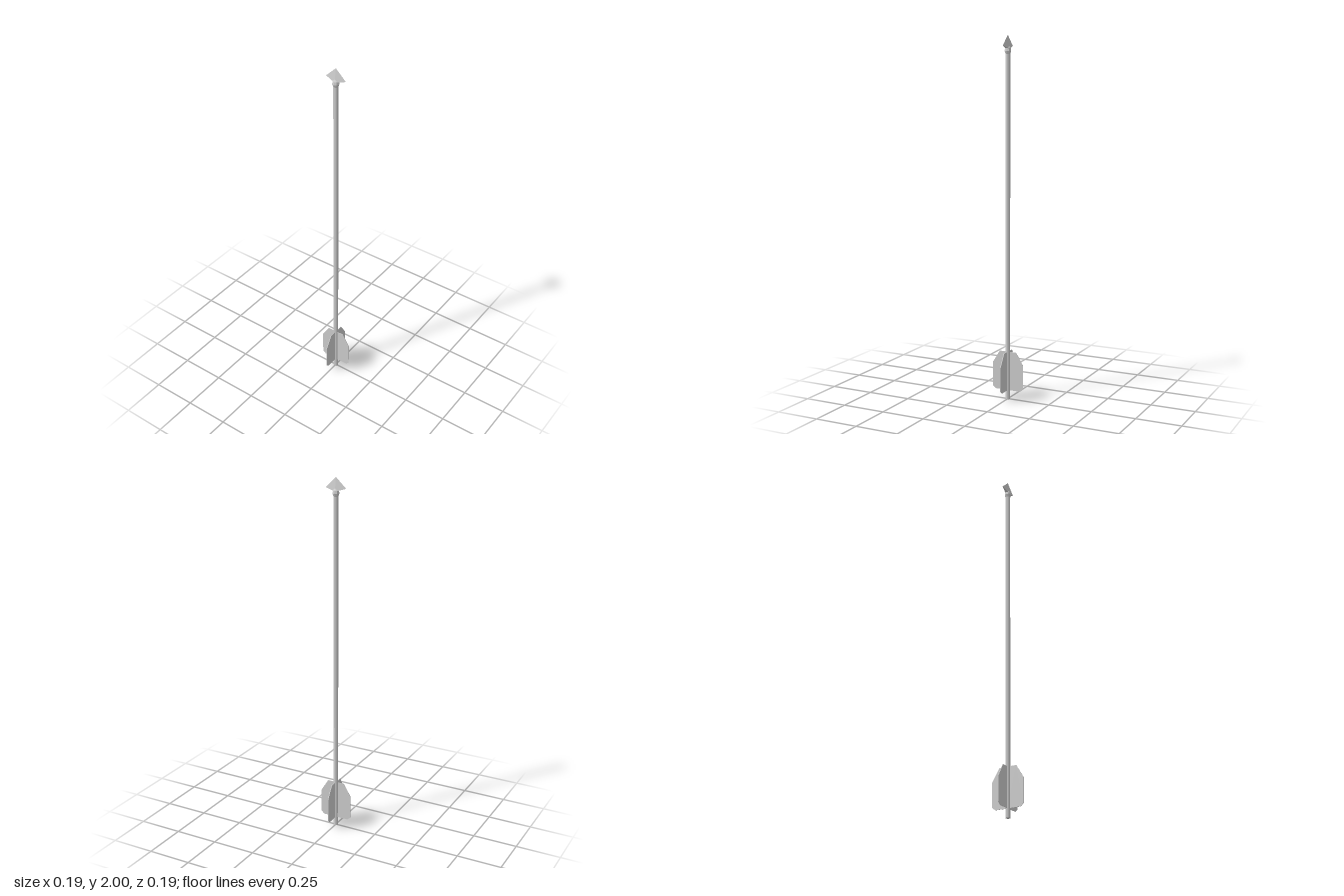
import * as THREE from 'three';

const material = new THREE.MeshStandardMaterial({
  color: 0xcccccc, flatShading: true, side: THREE.DoubleSide,
});

function add(parent, name, geometry) {
  const mesh = new THREE.Mesh(geometry, material);
  mesh.name = name;
  parent.add(mesh);
  return mesh;
}

// Flat-sided blade: a kite outline with a raised ridge on both faces
function bladeGeometry() {
  const tip = [0, 2, 0], left = [0.06, 1.943, 0], right = [-0.06, 1.943, 0];
  const front = [0, 1.925, 0.011], back = [0, 1.925, -0.011];
  const faces = [
    [tip, front, left], [tip, right, front],
    [tip, left, back], [tip, back, right],
    [left, front, back], [right, back, front],
  ];
  const g = new THREE.BufferGeometry();
  g.setAttribute('position', new THREE.Float32BufferAttribute(faces.flat(2), 3));
  g.computeVertexNormals();
  return g;
}

export function createModel() {
  const arrow = new THREE.Group();
  arrow.name = 'arrow';

  // Shaft
  const shaftTop = 1.92;
  add(arrow, 'shaft', new THREE.CylinderGeometry(0.0135, 0.0135, shaftTop, 8))
    .position.y = shaftTop / 2;

  // Head: socket swelling around the shaft end, and the blade
  const head = new THREE.Group();
  head.name = 'head';
  arrow.add(head);
  const socket = [[0, 1.895], [0.012, 1.895], [0.019, 1.915], [0.016, 1.93], [0, 1.955]];
  add(head, 'socket', new THREE.LatheGeometry(socket.map(([x, y]) => new THREE.Vector2(x, y)), 8));
  add(head, 'blade', bladeGeometry());

  // Four thin fins around the tail
  const outline = [[0, 0.05], [0.075, 0.05], [0.093, 0.066], [0.093, 0.2], [0.05, 0.27], [0, 0.27]];
  const thickness = 0.003;
  const finGeometry = new THREE.ExtrudeGeometry(
    new THREE.Shape(outline.map(([x, y]) => new THREE.Vector2(x, y))),
    { depth: thickness, bevelEnabled: false },
  ).translate(0, 0, -thickness / 2);
  const fins = new THREE.Group();
  fins.name = 'fins';
  arrow.add(fins);
  for (let i = 0; i < 4; i++) add(fins, 'fin', finGeometry).rotation.y = i * Math.PI / 2;

  return arrow;
}
